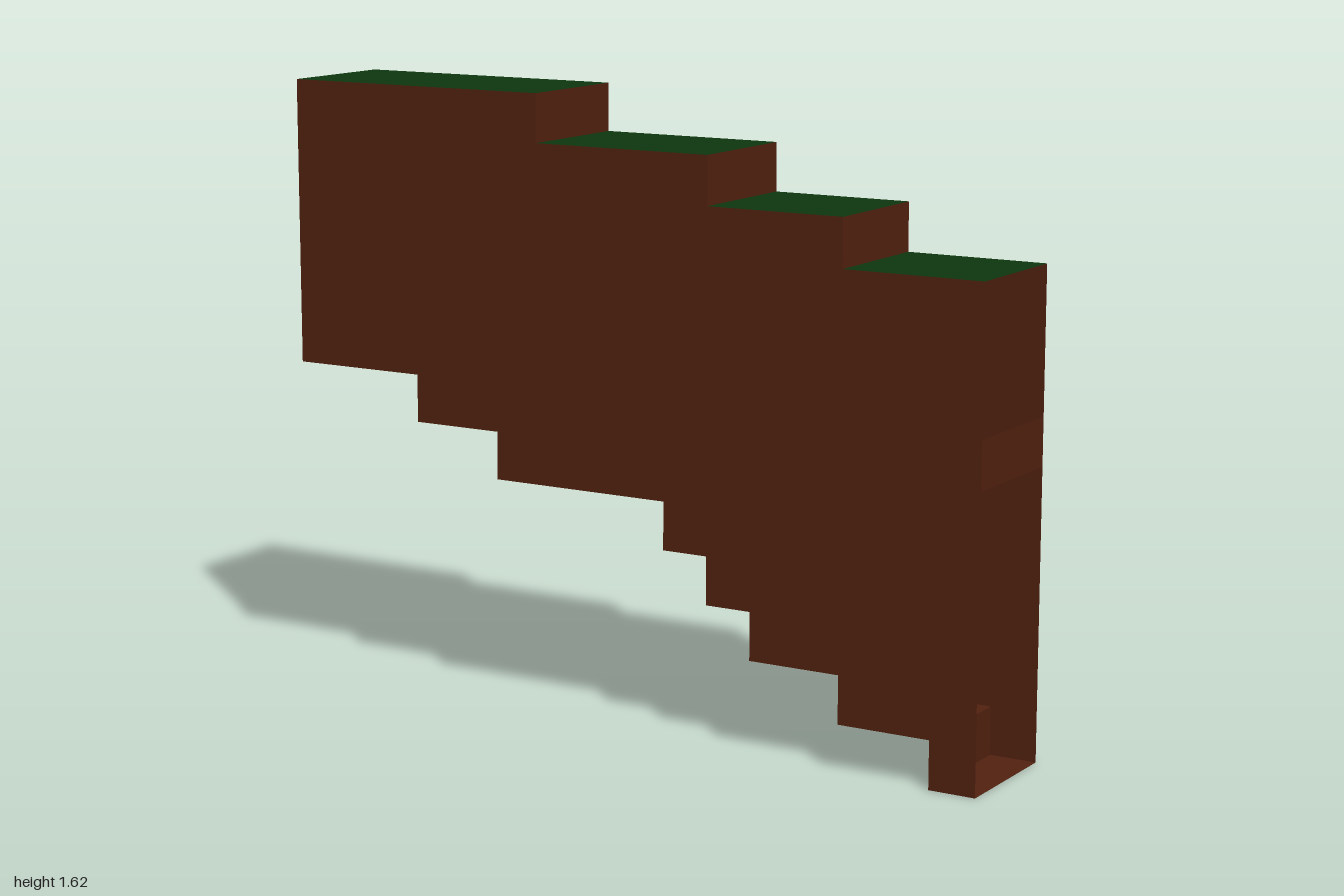
import * as THREE from 'three';

const DEPTH = 0.34;
const HALF = DEPTH / 2;

// Stepped outlines as [xStart, xEnd, y]
const TOP = [[-1, -0.25, 1.625], [-0.25, 0.25, 1.5], [0.25, 0.625, 1.375], [0.625, 1, 1.25]];
const BOTTOM = [
  [-1, -0.625, 0.875], [-0.625, -0.375, 0.75], [-0.375, 0.125, 0.625], [0.125, 0.25, 0.5],
  [0.25, 0.375, 0.375], [0.375, 0.625, 0.25], [0.625, 0.875, 0.125], [0.875, 1, 0],
];

export function createModel() {
  const model = new THREE.Group();
  const earth = new THREE.MeshStandardMaterial({ color: 0x52210f, side: THREE.DoubleSide });
  earth.name = 'earth brown';
  const grass = new THREE.MeshStandardMaterial({ color: 0x0d370e, side: THREE.DoubleSide });
  grass.name = 'grass green';

  const add = (name, geometry, material) => {
    const mesh = new THREE.Mesh(geometry, material);
    mesh.name = name;
    model.add(mesh);
    return mesh;
  };

  // Horizontal sheet, facing up (dir 1) or down (dir -1)
  const tread = (name, [x0, x1, y], dir, material) => {
    const geometry = new THREE.PlaneGeometry(x1 - x0, DEPTH).rotateX(-dir * Math.PI / 2);
    add(name, geometry, material).position.set((x0 + x1) / 2, y, 0);
  };

  // Vertical sheet across the depth, facing +x (dir 1) or -x (dir -1)
  const riser = (name, x, y0, y1, dir) => {
    const geometry = new THREE.PlaneGeometry(DEPTH, y1 - y0).rotateY(dir * Math.PI / 2);
    add(name, geometry, earth).position.set(x, (y0 + y1) / 2, 0);
  };

  // Grass ledges and the risers between them
  TOP.forEach((step, i) => {
    tread('grassLedge', step, 1, grass);
    if (i > 0) riser('upperRiser', step[0], step[2], TOP[i - 1][2], 1);
  });

  // Stepped underside
  BOTTOM.forEach((step, i) => {
    tread('undersideLedge', step, -1, earth);
    if (i > 0) riser('undersideRiser', step[0], step[2], BOTTOM[i - 1][2], -1);
  });

  // The ends are open except for one narrow band each
  riser('rightEndBand', -1, 0.875, 1, -1);
  riser('leftEndBand', 1, 0.75, 0.875, 1);

  // Front and back walls share the stepped silhouette
  const outline = [];
  BOTTOM.forEach(([x0, x1, y]) => outline.push(new THREE.Vector2(x0, y), new THREE.Vector2(x1, y)));
  [...TOP].reverse().forEach(([x0, x1, y]) => outline.push(new THREE.Vector2(x1, y), new THREE.Vector2(x0, y)));
  const wall = new THREE.ShapeGeometry(new THREE.Shape(outline));
  add('frontWall', wall, earth).position.z = HALF;

  // Reversed winding and normals so the back wall faces -z
  const backWall = wall.clone();
  backWall.setIndex(Array.from(wall.index.array).reverse());
  backWall.computeVertexNormals();
  add('backWall', backWall, earth).position.z = -HALF;

  return model;
}
